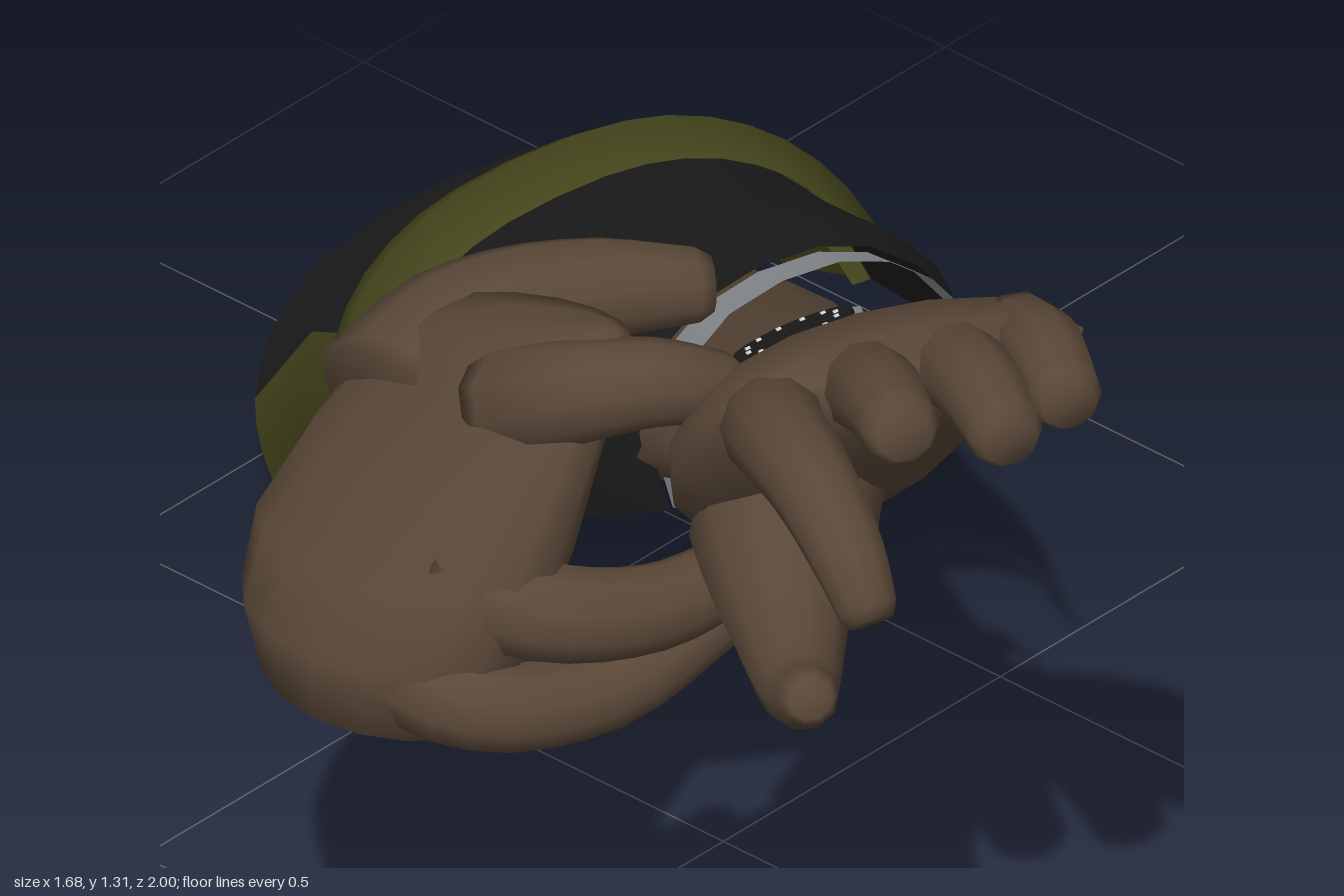
import * as THREE from 'three';

const V = (a) => new THREE.Vector3(...a);
const mat = (name, color, side = THREE.FrontSide) => {
  const m = new THREE.MeshStandardMaterial({ color, side });
  m.name = name;
  return m;
};

function build(pos, idx) {
  const g = new THREE.BufferGeometry();
  g.setAttribute('position', new THREE.Float32BufferAttribute(pos, 3));
  g.setIndex(idx);
  g.computeVertexNormals();
  return g;
}

// Closed elliptical loft: each section is [centre, half-width vector, half-thickness vector]
function loft(sections, sides = 14) {
  const pos = [], idx = [], n = sections.length;
  const dir = sections[n - 1][0].clone().sub(sections[0][0]);
  const mid = sections[n >> 1];
  const flip = mid[1].clone().cross(mid[2]).dot(dir) < 0 ? -1 : 1;
  for (const [c, a, b] of sections)
    for (let j = 0; j < sides; j++) {
      const t = (j / sides) * Math.PI * 2;
      const p = c.clone().addScaledVector(a, Math.cos(t)).addScaledVector(b, flip * Math.sin(t));
      pos.push(p.x, p.y, p.z);
    }
  for (let i = 0; i < n - 1; i++)
    for (let j = 0; j < sides; j++) {
      const k = (j + 1) % sides, r = i * sides, q = r + sides;
      idx.push(r + j, r + k, q + k, r + j, q + k, q + j);
    }
  const first = pos.length / 3, last = first + 1, e = (n - 1) * sides;
  pos.push(...sections[0][0].toArray(), ...sections[n - 1][0].toArray());
  for (let j = 0; j < sides; j++) {
    const k = (j + 1) % sides;
    idx.push(first, k, j, last, e + j, e + k);
  }
  return build(pos, idx);
}

// Tapered finger through points [x, y, z, radius] with a blunt tip
function finger(points) {
  const n = points.length;
  const curve = new THREE.CatmullRomCurve3(points.map((p) => V(p.slice(0, 3))));
  const steps = (n - 1) * 4, out = [];
  let a = null;
  for (let i = 0; i <= steps; i++) {
    const f = i / steps, k = Math.min(n - 2, Math.floor(f * (n - 1)));
    const r = THREE.MathUtils.lerp(points[k][3], points[k + 1][3], f * (n - 1) - k);
    const t = curve.getTangent(f);
    if (!a) a = new THREE.Vector3(0, 1, 0).cross(t);
    a = a.clone().addScaledVector(t, -a.dot(t)).normalize();
    const b = t.clone().cross(a), c = curve.getPoint(f);
    out.push([c, a.clone().multiplyScalar(r), b.clone().multiplyScalar(r)]);
    if (i === steps)
      out.push([c.clone().addScaledVector(t, r * 0.4), a.clone().multiplyScalar(r * 0.75), b.clone().multiplyScalar(r * 0.75)]);
  }
  return loft(out, 10);
}

// Open arched shell along z: stations [z, half-width, height, start, end], angles in units of pi.
// z may be a function of the angle for a slanted edge.
function shell(stations, seg = 10, x0 = 0, y0 = 0) {
  const pos = [], idx = [], w = seg + 1;
  for (const [z, hw, h, s = 0, e = 1] of stations)
    for (let j = 0; j <= seg; j++) {
      const u = s + ((e - s) * j) / seg, c = Math.cos(Math.PI * u);
      pos.push(x0 + hw * Math.sign(c) * Math.abs(c) ** 0.85,
        y0 + h * Math.max(0, Math.sin(Math.PI * u)) ** 0.85, typeof z === 'function' ? z(u) : z);
    }
  for (let i = 0; i < stations.length - 1; i++)
    for (let j = 0; j < seg; j++) {
      const a = i * w + j, b = a + w;
      idx.push(a, b + 1, a + 1, a, b, b + 1);
    }
  return build(pos, idx);
}

export function createModel() {
  const root = new THREE.Group();
  root.name = 'arms';
  const skin = mat('skin', 0x5a4838);
  const black = mat('blackCloth', 0x1d1d1d, THREE.DoubleSide);
  const olive = mat('oliveCloth', 0x45461c, THREE.DoubleSide);
  const grey = mat('greyMetal', 0x8e9397, THREE.DoubleSide);
  const white = mat('whiteMarks', 0xd8d8d8);
  const add = (parent, name, geo, m) => {
    const mesh = new THREE.Mesh(geo, m);
    mesh.name = name;
    parent.add(mesh);
    return mesh;
  };

  // Forearm frame: x across, y out of the back of the arm, z from elbow to wrist
  const arm = new THREE.Group();
  arm.name = 'forearm';
  const zAxis = V([-0.438, 0.471, 0.766]).normalize();
  const yAxis = V([0, 0.852, -0.524]);
  const xAxis = yAxis.clone().cross(zAxis).normalize();
  yAxis.copy(zAxis).cross(xAxis);
  arm.quaternion.setFromRotationMatrix(new THREE.Matrix4().makeBasis(xAxis, yAxis, zAxis));
  arm.position.set(0.53, 0.09, -0.815);
  root.add(arm);

  // Bare arm, hollow at the elbow end
  add(arm, 'bareForearm', loft([
    [0.8, -0.02, 0.065, 0.17, 0.06], [0.56, -0.02, 0.06, 0.215, 0.08], [0.8, -0.025, 0.06, 0.205, 0.085],
    [1.1, -0.04, 0.065, 0.19, 0.085], [1.4, -0.06, 0.07, 0.16, 0.08], [1.66, -0.065, 0.075, 0.142, 0.07],
  ].map(([z, x, y, w, h]) => [V([x, y, z]), V([w, 0, 0]), V([0, h, 0])]), 16), skin);

  // Sleeve
  add(arm, 'sleeve', shell([
    [0.5, 0.33, 0.265], [0.77, 0.3, 0.25], [0.95, 0.285, 0.245], [1.13, 0.275, 0.24], [1.38, 0.22, 0.225],
  ]), black);
  // Raised band whose edges run forward on the right side
  const slant = (base, reach) => (u) => base + reach * Math.max(0, 1 - u / 0.35);
  add(arm, 'sleeveBand', shell([
    [slant(0.28, 0.2), 0.31, 0.255], [slant(0.36, 0.14), 0.34, 0.3], [slant(0.47, 0.06), 0.36, 0.315], [slant(0.54, 0.05), 0.325, 0.265],
  ], 20), olive);
  add(arm, 'hemWedge', shell([[0.54, 0.334, 0.27, 0, 0.06], [0.7, 0.313, 0.26, 0, 0.04], [0.84, 0.3, 0.25, 0, 0.005]], 3), olive);
  // Upper sleeve: colour boundaries at the open end, the middle and the band
  const edges = [[0, 0, 0], [0.08, 0.09, 0.11], [0.22, 0.19, 0.15], [0.26, 0.28, 0.31], [0.88, 0.78, 0.76], [1, 1, 1]];
  for (let i = 0; i < 5; i++) {
    const s = edges[i], e = edges[i + 1];
    add(arm, 'upperSleevePanel' + i, shell([
      [0, 0.34, 0.25, s[0], e[0]], [0.15, 0.32, 0.26, s[1], e[1]], [0.5, 0.33, 0.265, s[2], e[2]],
    ], i === 3 ? 8 : 3), i % 2 ? black : olive);
  }
  add(arm, 'cuff', shell([[1.37, 0.213, 0.218], [1.47, 0.208, 0.212]]), grey);

  // Wristwatch
  const watch = new THREE.Group();
  watch.name = 'watch';
  arm.add(watch);
  add(watch, 'watchStrap', shell([[1.56, 0.16, 0.12], [1.67, 0.155, 0.115]], 10, -0.05, 0.04), grey);
  const disc = (name, r, h, y, m, sides) =>
    add(watch, name, new THREE.CylinderGeometry(r, r, h, sides), m).position.set(-0.045, y, 1.605);
  disc('watchCase', 0.092, 0.026, 0.153, grey, 12);
  disc('watchFace', 0.08, 0.008, 0.168, black, 20);
  for (let i = 0; i < 12; i++) {
    const t = (i / 12) * Math.PI * 2;
    add(watch, 'hourMark' + i, new THREE.BoxGeometry(0.006, 0.004, 0.006), white)
      .position.set(-0.045 + 0.06 * Math.cos(t), 0.173, 1.605 + 0.06 * Math.sin(t));
  }

  // Reaching hand on the watch arm
  const hand = new THREE.Group();
  hand.name = 'reachingHand';
  root.add(hand);
  add(hand, 'palm', loft([
    [[-0.235, 0.905, 0.35], [0.115, 0.03, 0.048], [0, 0.055, -0.034]],
    [[-0.28, 0.95, 0.43], [0.135, 0.03, 0.052], [0, 0.065, -0.042]],
    [[-0.375, 1.0, 0.51], [0.22, 0.02, 0.05], [0, 0.08, -0.07]],
    [[-0.42, 1.1, 0.59], [0.255, 0.0, 0.06], [0, 0.06, -0.07]],
    [[-0.43, 1.19, 0.67], [0.235, -0.01, 0.08], [0, 0.055, -0.06]],
    [[-0.44, 1.23, 0.73], [0.2, -0.01, 0.08], [0, 0.035, -0.03]],
  ].map((s) => s.map(V)), 16), skin);
  const reach = {
    littleFinger: [[-0.26, 1.18, 0.72, 0.055], [-0.32, 1.225, 0.82, 0.052], [-0.37, 1.22, 0.9, 0.045]],
    ringFinger: [[-0.37, 1.19, 0.7, 0.058], [-0.44, 1.235, 0.82, 0.054], [-0.49, 1.23, 0.91, 0.047]],
    middleFinger: [[-0.48, 1.19, 0.66, 0.06], [-0.57, 1.26, 0.78, 0.055], [-0.625, 1.28, 0.86, 0.048]],
    indexFinger: [[-0.57, 1.15, 0.6, 0.07], [-0.67, 1.22, 0.7, 0.062], [-0.74, 1.235, 0.82, 0.055],
      [-0.785, 1.195, 0.92, 0.047], [-0.8, 1.145, 0.965, 0.038]],
    thumb: [[-0.4, 0.97, 0.49, 0.11], [-0.54, 0.965, 0.59, 0.115], [-0.66, 0.93, 0.71, 0.07],
      [-0.74, 0.93, 0.8, 0.048], [-0.785, 0.965, 0.855, 0.035]],
  };
  for (const k in reach) add(hand, k, finger(reach[k]), skin);

  // Second hand curled around the wrist, leaning in over it
  const grip = new THREE.Group();
  grip.name = 'grippingHand';
  root.add(grip);
  add(grip, 'gripPalm', loft([
    [[-0.68, 0.58, 0.09], [0, 0, 0.09], [0.08, 0, 0]],
    [[-0.71, 0.63, 0.09], [0, 0, 0.17], [0.13, 0, 0]],
    [[-0.7, 0.72, 0.09], [0, 0.01, 0.21], [0.145, 0, 0]],
    [[-0.655, 0.82, 0.09], [0, 0.03, 0.23], [0.14, 0.02, 0]],
    [[-0.59, 0.93, 0.1], [0, 0.05, 0.22], [0.115, 0.03, 0]],
    [[-0.55, 1.03, 0.13], [0, 0.06, 0.2], [0.085, 0.02, 0]],
    [[-0.53, 1.075, 0.15], [0, 0.045, 0.17], [0.065, 0.01, 0]],
    [[-0.53, 1.1, 0.19], [0, 0.035, 0.11], [0.035, 0, 0]],
  ].map((s) => s.map(V)), 16), skin);
  const wrap = {
    gripThumb: [[-0.59, 0.91, 0.0, 0.12], [-0.47, 0.96, 0.0, 0.1], [-0.335, 0.99, 0.06, 0.07], [-0.215, 0.985, 0.15, 0.048]],
    gripIndex: [[-0.57, 0.99, 0.17, 0.08], [-0.58, 1.06, 0.28, 0.065], [-0.52, 1.08, 0.36, 0.055], [-0.44, 1.05, 0.4, 0.045]],
    gripMiddle: [[-0.69, 0.81, 0.18, 0.08], [-0.66, 0.79, 0.3, 0.065], [-0.54, 0.77, 0.375, 0.055], [-0.4, 0.78, 0.405, 0.045]],
    gripRing: [[-0.75, 0.7, 0.15, 0.08], [-0.74, 0.68, 0.27, 0.06], [-0.6, 0.67, 0.35, 0.052], [-0.42, 0.72, 0.385, 0.045]],
    gripLittle: [[-0.7, 0.64, 0.08, 0.07], [-0.62, 0.62, 0.19, 0.055], [-0.52, 0.65, 0.27, 0.048], [-0.45, 0.7, 0.3, 0.042]],
  };
  for (const k in wrap) add(grip, k, finger(wrap[k]), skin);
  return root;
}
